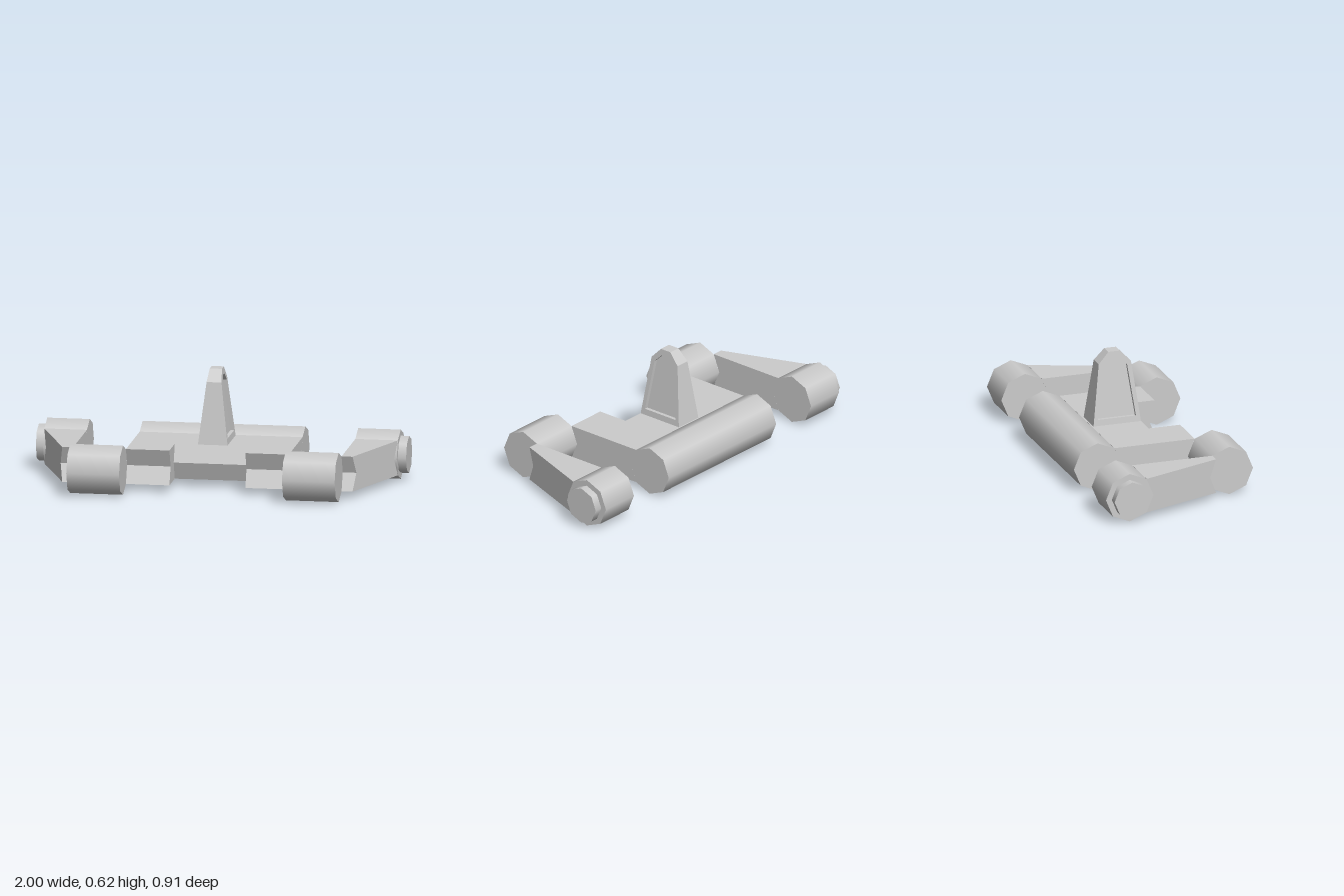
import * as THREE from 'three';

const CY = 0.135;            // height of all barrel axes
const R = 0.134;             // barrel radius
const PIVOT_Z = 0.322;       // barrel axes sit at +/- this z
const TOP = 0.23, BOTTOM = 0.04;
const END = 0.227, NOTCH = 0.188; // ends of the links: corner and notch depth

// Closed surface through rings of [x, y, z], ordered from low to high x.
// Each ring runs counter-clockwise as seen from +x.
function loft(rings) {
  const n = rings[0].length;
  const pos = [];
  const tri = (...p) => p.forEach((v) => pos.push(...v));
  for (let k = 0; k < rings.length - 1; k++) {
    const a = rings[k], b = rings[k + 1];
    for (let i = 0; i < n; i++) {
      const j = (i + 1) % n;
      tri(a[i], a[j], b[j]);
      tri(a[i], b[j], b[i]);
    }
  }
  const flat = rings[0].map(([, y, z]) => new THREE.Vector2(-z, y));
  const first = rings[0], last = rings[rings.length - 1];
  for (const [i, j, k] of THREE.ShapeUtils.triangulateShape(flat, [])) {
    tri(last[i], last[j], last[k]);
    tri(first[i], first[k], first[j]);
  }
  const g = new THREE.BufferGeometry();
  g.setAttribute('position', new THREE.Float32BufferAttribute(pos, 3));
  g.computeVertexNormals();
  return g;
}

// Places a [z, y] profile in space, x given by a rule of (z, y)
const ring = (profile, x) => profile.map(([z, y]) => [x(z, y), y, z]);

// Link cross-section with shaped front and back ends
const linkProfile = (frontCorner, frontMid) => [
  [frontCorner, TOP], [frontMid, CY], [frontCorner, BOTTOM],
  [-END, BOTTOM], [-NOTCH, CY], [-END, TOP],
];

export function createModel() {
  const model = new THREE.Group();
  const smooth = new THREE.MeshStandardMaterial({ color: 0xcccccc });
  const faceted = new THREE.MeshStandardMaterial({ color: 0xcccccc, flatShading: true });

  const add = (name, geometry, material) => {
    const mesh = new THREE.Mesh(geometry, material);
    mesh.name = name;
    model.add(mesh);
  };

  // Eight-sided barrel lying along x
  const barrel = (name, x0, x1, z, r = R) => {
    const g = new THREE.CylinderGeometry(r, r, Math.abs(x1 - x0), 8);
    g.rotateZ(Math.PI / 2).translate((x0 + x1) / 2, CY, z);
    add(name, g, smooth);
  };

  // Link whose two sides follow x rules; sorted so the rings run low to high
  const link = (name, profile, side, inner, outer) => {
    const rings = [ring(profile, (z) => side * inner(z)), ring(profile, (z) => side * outer(z))];
    add(name, loft(side > 0 ? rings : rings.reverse()), faceted);
  };

  // Central body: rear barrel and the short plate in front of it
  barrel('rearBarrel', -0.44, 0.44, -PIVOT_Z);
  link('centrePlate', linkProfile(0.05, 0.086), 1, () => -0.205, () => 0.205);

  // Both sides: inner arm, front pivot, tapering outer arm, rear pivot and cap
  const armProfile = linkProfile(END, NOTCH);
  const taper = (z) => 0.955 - (z + END) * 0.376;
  for (const [label, side] of [['left', 1], ['right', -1]]) {
    link(label + 'InnerArm', armProfile, side, () => 0.205, () => 0.44);
    barrel(label + 'FrontPivot', side * 0.44, side * 0.725, PIVOT_Z);
    link(label + 'OuterArm', armProfile, side, () => 0.725, taper);
    barrel(label + 'RearPivot', side * 0.725, side * 0.955, -PIVOT_Z);
    barrel(label + 'PivotCap', side * 0.95, side * 1.0, -PIVOT_Z, 0.101);
  }

  // Upright fin, narrowing upward, with a recessed panel on each side
  const outline = [
    [-0.052, 0.625], [0.007, 0.563], [0.05, TOP],
    [-0.218, TOP], [-0.175, 0.563], [-0.118, 0.625],
  ];
  const panel = [
    [-0.06, 0.59], [-0.015, 0.545], [0.023, 0.263],
    [-0.191, 0.263], [-0.155, 0.545], [-0.11, 0.59],
  ];
  const half = (z, y) => 0.08 - (y - TOP) * 0.119;
  const floor = (z, y) => half(z, y) - 0.02;
  const neg = (rule) => (z, y) => -rule(z, y);
  add('fin', loft([
    ring(panel, neg(floor)), ring(panel, neg(half)), ring(outline, neg(half)),
    ring(outline, half), ring(panel, half), ring(panel, floor),
  ]), faceted);

  return model;
}
